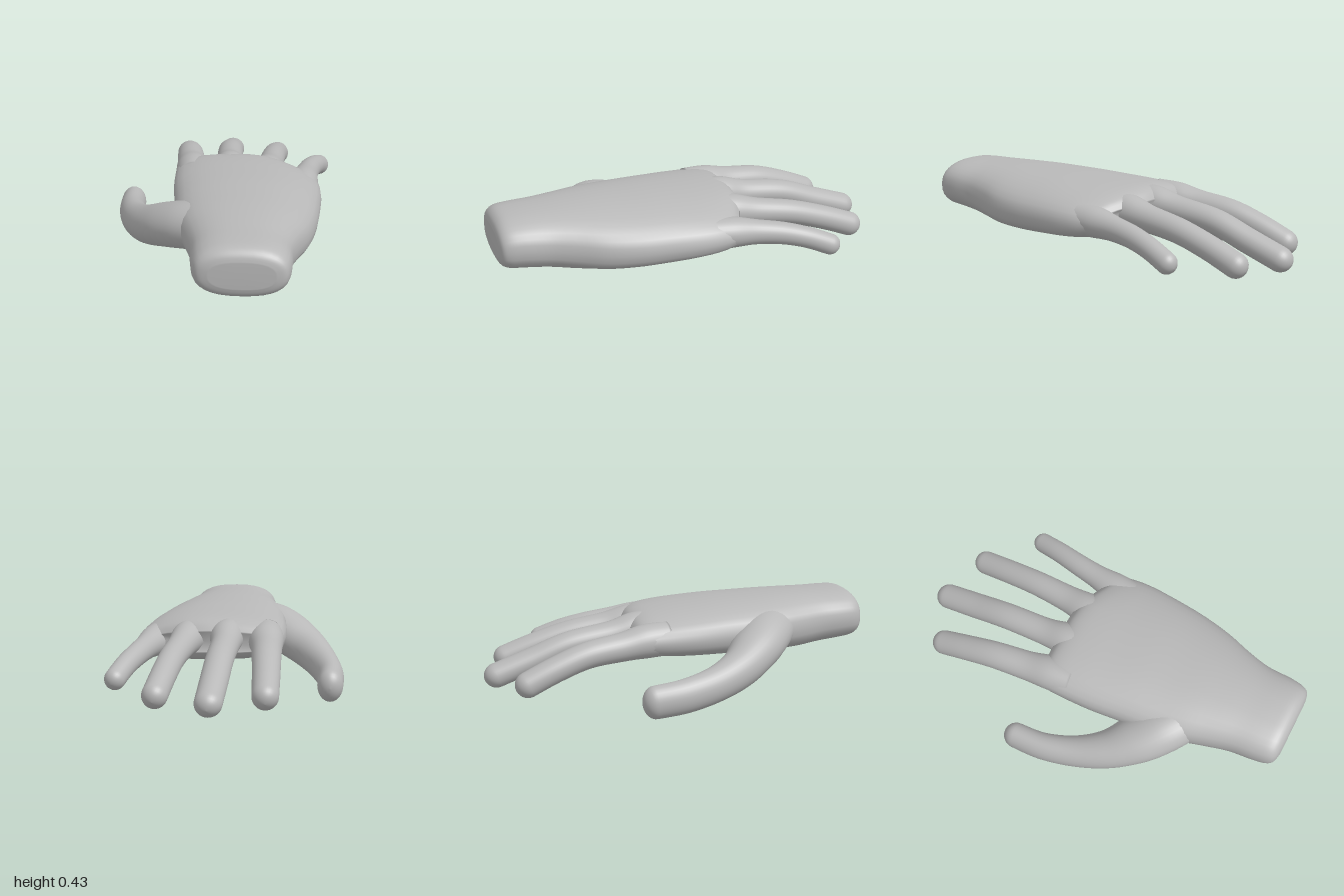
import * as THREE from 'three';

const SIDES = 32;

// Closed smooth skin over a run of rings, with a centre point closing each end
function loft(rings, material, name) {
  const pos = [], idx = [];
  rings.forEach(r => r.forEach(p => pos.push(p.x, p.y, p.z)));
  for (let i = 0; i < rings.length - 1; i++) {
    for (let j = 0; j < SIDES; j++) {
      const k = (j + 1) % SIDES;
      const a = i * SIDES + j, b = i * SIDES + k, c = a + SIDES, d = b + SIDES;
      idx.push(a, c, b, b, c, d);
    }
  }
  [0, rings.length - 1].forEach((r, end) => {
    const mid = new THREE.Vector3();
    rings[r].forEach(p => mid.addScaledVector(p, 1 / SIDES));
    const m = pos.length / 3;
    pos.push(mid.x, mid.y, mid.z);
    for (let j = 0; j < SIDES; j++) {
      const a = r * SIDES + j, b = r * SIDES + (j + 1) % SIDES;
      if (end) idx.push(a, m, b); else idx.push(a, b, m);
    }
  });
  const geo = new THREE.BufferGeometry();
  geo.setAttribute('position', new THREE.Float32BufferAttribute(pos, 3));
  geo.setIndex(idx);
  geo.computeVertexNormals();
  const mesh = new THREE.Mesh(geo, material);
  mesh.name = name;
  return mesh;
}

// Smooth interpolation through rows of numbers, t from 0 to 1
function sampleRows(rows, t) {
  const f = t * (rows.length - 1), i = Math.min(Math.floor(f), rows.length - 2), u = f - i;
  const at = n => rows[Math.min(Math.max(n, 0), rows.length - 1)];
  return rows[0].map((_, c) => {
    const p0 = at(i - 1)[c], p1 = at(i)[c], p2 = at(i + 1)[c], p3 = at(i + 2)[c];
    const m1 = (p2 - p0) / 2, m2 = (p3 - p1) / 2;
    return p1 + u * (m1 + u * (3 * (p2 - p1) - 2 * m1 - m2 + u * (2 * (p1 - p2) + m1 + m2)));
  });
}

// Palm and wrist: rounded-rectangle sections [z, left x, right x, bottom, top, tilt]
function palmRings() {
  const rows = [
    [0.998, -0.03, 0.27, 0.235, 0.365, 0],
    [0.985, -0.08, 0.315, 0.2, 0.4, 0],
    [0.95, -0.105, 0.335, 0.178, 0.425, 0],
    [0.88, -0.118, 0.345, 0.17, 0.432, 0],
    [0.76, -0.13, 0.353, 0.16, 0.434, 0.01],
    [0.64, -0.16, 0.385, 0.148, 0.436, 0.02],
    [0.5, -0.2, 0.435, 0.148, 0.436, 0.035],
    [0.35, -0.225, 0.468, 0.152, 0.432, 0.04],
    [0.2, -0.24, 0.485, 0.158, 0.428, 0.04],
    [0.05, -0.256, 0.495, 0.166, 0.42, 0.04],
    [-0.08, -0.262, 0.494, 0.176, 0.412, 0.04],
    [-0.18, -0.262, 0.485, 0.19, 0.4, 0.04],
    [-0.235, -0.258, 0.475, 0.208, 0.378, 0.035],
    [-0.265, -0.235, 0.45, 0.24, 0.34, 0.03],
  ];
  const rings = [], steps = 56;
  for (let i = 0; i <= steps; i++) {
    const [z, l, r, b, t, tilt] = sampleRows(rows, i / steps);
    const ring = [];
    for (let j = 0; j < SIDES; j++) {
      const a = j / SIDES * Math.PI * 2;
      const round = v => Math.sign(v) * Math.abs(v) ** 0.8;
      const u = round(Math.cos(a)), x = (l + r) / 2 + u * (r - l) / 2;
      const y = (b + t) / 2 + round(Math.sin(a)) * (t - b) / 2 - tilt * Math.max(u, 0) ** 1.5;
      // the knuckle line slants back towards the little finger
      const slant = 0.09 * THREE.MathUtils.smoothstep(x, 0.15, 0.45)
        * THREE.MathUtils.clamp((0.1 - z) / 0.3, 0, 1);
      ring.push(new THREE.Vector3(x, y, z + slant));
    }
    rings.push(ring);
  }
  return rings;
}

// Finger: oval rings swept along rows [x, y, z, half width, half height], round tip
function fingerRings(rows) {
  const rings = [], steps = 36, up = new THREE.Vector3(0, 1, 0);
  const point = t => new THREE.Vector3(...sampleRows(rows, t).slice(0, 3));
  const addRing = (c, dir, w, h) => {
    const side = dir.clone().cross(up).normalize(), top = side.clone().cross(dir);
    rings.push(Array.from({ length: SIDES }, (_, j) => {
      const a = j / SIDES * Math.PI * 2;
      return c.clone().addScaledVector(side, w * Math.cos(a)).addScaledVector(top, h * Math.sin(a));
    }));
  };
  let dir;
  for (let i = 0; i <= steps; i++) {
    const t = i / steps, [, , , w, h] = sampleRows(rows, t);
    dir = point(Math.min(t + 0.01, 1)).sub(point(Math.max(t - 0.01, 0))).normalize();
    addRing(point(t), dir, w, h);
  }
  const [, , , w, h] = rows[rows.length - 1], end = point(1);
  for (let i = 1; i <= 8; i++) {
    const a = i / 8 * 1.53;
    addRing(end.clone().addScaledVector(dir, w * Math.sin(a)), dir, w * Math.cos(a), h * Math.cos(a));
  }
  return rings;
}

export function createModel() {
  const group = new THREE.Group();
  group.name = 'hand';
  const skin = new THREE.MeshStandardMaterial({ color: 0xb8b8b8 });
  skin.name = 'plain grey';

  group.add(loft(palmRings(), skin, 'palm'));

  const fingers = {
    indexFinger: [
      [-0.165, 0.3, -0.1, 0.085, 0.085], [-0.175, 0.295, -0.22, 0.088, 0.085],
      [-0.19, 0.28, -0.34, 0.076, 0.072], [-0.208, 0.258, -0.52, 0.07, 0.066],
      [-0.223, 0.205, -0.68, 0.066, 0.064], [-0.234, 0.143, -0.822, 0.063, 0.064],
    ],
    middleFinger: [
      [0.02, 0.31, -0.1, 0.085, 0.085], [0.02, 0.31, -0.22, 0.086, 0.085],
      [0.014, 0.29, -0.35, 0.071, 0.068], [0.01, 0.258, -0.57, 0.068, 0.063],
      [0.01, 0.19, -0.76, 0.067, 0.062], [0.01, 0.128, -0.935, 0.065, 0.062],
    ],
    ringFinger: [
      [0.21, 0.3, -0.08, 0.085, 0.085], [0.218, 0.3, -0.2, 0.086, 0.083],
      [0.232, 0.28, -0.33, 0.07, 0.068], [0.247, 0.25, -0.52, 0.064, 0.062],
      [0.258, 0.2, -0.69, 0.062, 0.061], [0.269, 0.14, -0.85, 0.061, 0.062],
    ],
    littleFinger: [
      [0.392, 0.27, -0.03, 0.082, 0.08], [0.403, 0.268, -0.14, 0.08, 0.076],
      [0.422, 0.258, -0.26, 0.062, 0.062], [0.446, 0.24, -0.39, 0.056, 0.056],
      [0.475, 0.21, -0.51, 0.053, 0.053], [0.502, 0.165, -0.625, 0.051, 0.053],
    ],
    thumb: [
      [-0.08, 0.29, 0.48, 0.13, 0.11], [-0.17, 0.27, 0.41, 0.135, 0.115],
      [-0.265, 0.23, 0.325, 0.128, 0.11], [-0.365, 0.175, 0.215, 0.1, 0.1],
      [-0.44, 0.13, 0.07, 0.08, 0.09], [-0.488, 0.1, -0.1, 0.068, 0.086],
      [-0.497, 0.085, -0.255, 0.064, 0.083],
    ],
  };
  for (const [name, rows] of Object.entries(fingers)) group.add(loft(fingerRings(rows), skin, name));

  return group;
}
